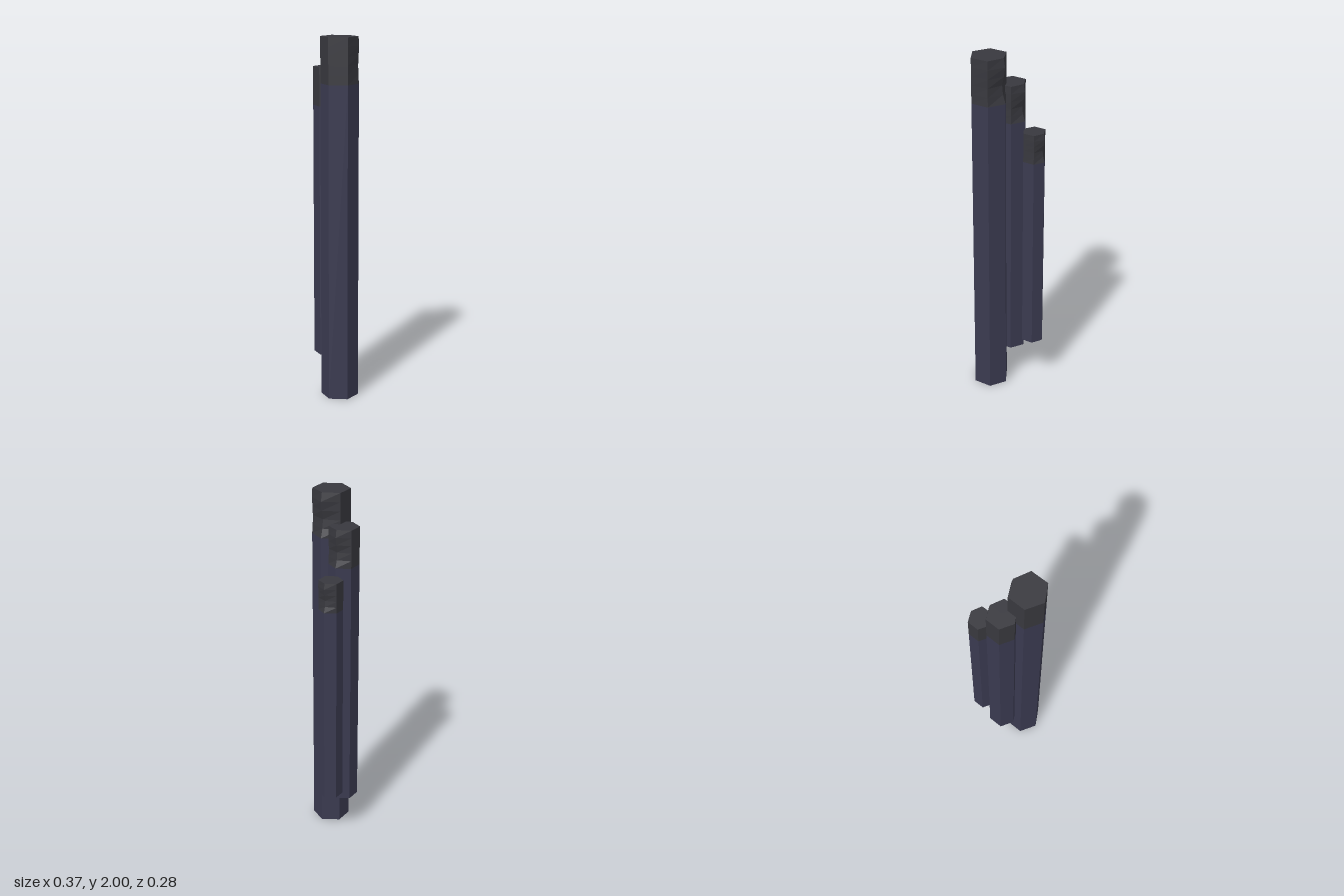
import * as THREE from 'three';

const shaftMaterial = new THREE.MeshStandardMaterial({ color: 0x3a3a50, flatShading: true });
const tipMaterial = new THREE.MeshStandardMaterial({ color: 0x38383e, flatShading: true });

// Inward wear on the +x side at each ring of the tip, bottom to top (fraction of radius)
const WEAR = [0, 0.2, 0.27, 0.12, 0.03, 0.14];

// Hexagonal prism with corners on the x axis, standing on y = 0
function hexPrism(radius, height, rings) {
  const g = new THREE.CylinderGeometry(radius, radius, height, 6, rings, false, Math.PI / 2);
  return g.translate(0, height / 2, 0);
}

// Tip whose corners facing +x are worn inwards
function wornTip(radius, height) {
  const rings = WEAR.length - 1;
  const g = hexPrism(radius, height, rings);
  const p = g.attributes.position;
  for (let i = 0; i < p.count; i++) {
    const x = p.getX(i), z = p.getZ(i);
    if (Math.hypot(x, z) < radius * 0.5) continue;
    const ring = Math.round((p.getY(i) / height) * rings);
    const facing = Math.max(0, Math.cos(Math.atan2(z, x) - 0.3)) ** 6;
    const s = 1 - WEAR[ring] * facing;
    p.setX(i, x * s);
    p.setZ(i, z * s);
  }
  return g;
}

function column(name, { x, z, radius, bottom, tipStart, top }) {
  const group = new THREE.Group();
  group.name = name;
  group.position.set(x, bottom, z);
  const shaft = new THREE.Mesh(hexPrism(radius, tipStart - bottom, 1), shaftMaterial);
  shaft.name = 'shaft';
  const tip = new THREE.Mesh(wornTip(radius, top - tipStart), tipMaterial);
  tip.name = 'wornTip';
  tip.position.y = tipStart - bottom;
  group.add(shaft, tip);
  return group;
}

export function createModel() {
  const model = new THREE.Group();
  model.name = 'hexagonalColumns';
  model.add(
    column('tallColumn', { x: -0.083, z: 0.05, radius: 0.103, bottom: 0, tipStart: 1.75, top: 2 }),
    column('middleColumn', { x: -0.019, z: -0.07, radius: 0.083, bottom: 0.21, tipStart: 1.62, top: 1.83 }),
    column('shortColumn', { x: 0.12, z: -0.077, radius: 0.066, bottom: 0.28, tipStart: 1.41, top: 1.575 }),
  );
  return model;
}
